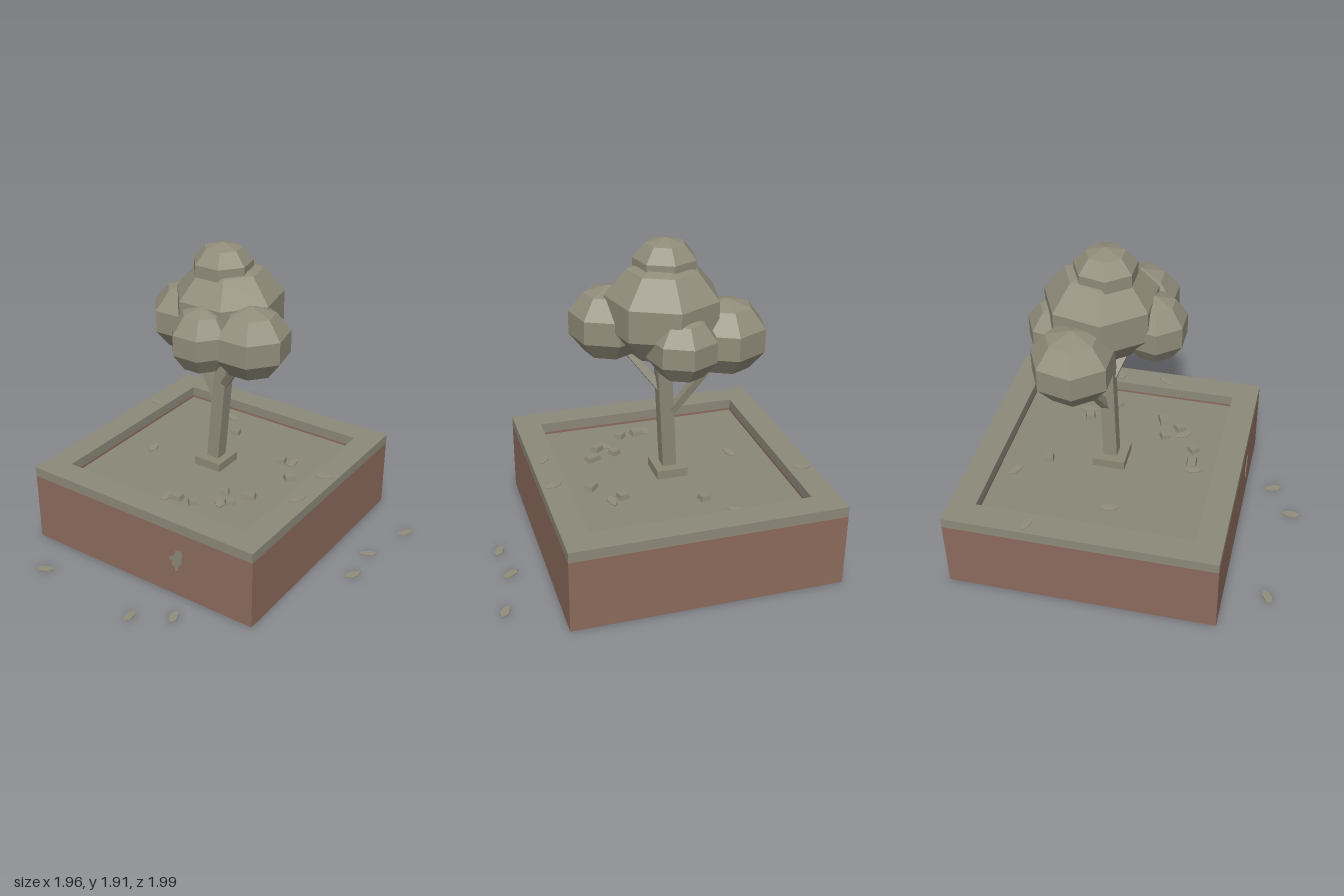
import * as THREE from 'three';

const mat = (name, color) => {
  const m = new THREE.MeshStandardMaterial({ color, flatShading: true });
  m.name = name;
  return m;
};

export function createModel() {
  const root = new THREE.Group();
  root.name = 'treePlanter';
  const brick = mat('brick', 0x8c6b5d);
  const stone = mat('stone', 0x8c8979);
  const soil = mat('soil', 0x8a8776);
  const bark = mat('bark', 0x8c8877);
  const foliage = mat('foliage', 0x918d7b);

  const add = (name, geometry, material, parent = root) => {
    const mesh = new THREE.Mesh(geometry, material);
    mesh.name = name;
    parent.add(mesh);
    return mesh;
  };
  const group = (name) => {
    const g = new THREE.Group();
    g.name = name;
    root.add(g);
    return g;
  };

  // Planter: square frame with an open middle, brick below and a stone cap
  const cx = -0.17, cz = -0.193;
  const square = (Type, h) => new Type([[-h, -h], [h, -h], [h, h], [-h, h]].map(([x, y]) => new THREE.Vector2(x, y)));
  const frame = (name, y0, y1, material) => {
    const shape = square(THREE.Shape, 0.808);
    shape.holes.push(square(THREE.Path, 0.65));
    const geo = new THREE.ExtrudeGeometry(shape, { depth: y1 - y0, bevelEnabled: false });
    geo.rotateX(-Math.PI / 2).translate(cx, y0, cz);
    add(name, geo, material);
  };
  frame('brickWall', 0, 0.445, brick);
  frame('stoneCap', 0.445, 0.508, stone);
  const soilY = 0.43;
  add('soilBed', new THREE.BoxGeometry(1.3, 0.02, 1.3).translate(cx, soilY - 0.01, cz), soil);

  // Ragged patch on the front wall
  const patch = new THREE.Shape([
    [0.10, 0.17], [0.125, 0.18], [0.125, 0.21], [0.15, 0.24], [0.155, 0.30], [0.145, 0.325], [0.11, 0.32],
    [0.095, 0.28], [0.055, 0.255], [0.07, 0.235], [0.085, 0.245], [0.075, 0.205], [0.105, 0.205],
  ].map(([x, y]) => new THREE.Vector2(x, y)));
  add('wallPatch', new THREE.ExtrudeGeometry(patch, { depth: 0.006, bevelEnabled: false }).translate(0, 0, 0.612), stone);

  // Collar and leaning trunk
  add('trunkCollar', new THREE.BoxGeometry(0.19, 0.055, 0.2).translate(-0.17, soilY + 0.027, -0.193), bark);
  const trunk = new THREE.BoxGeometry(0.085, 0.9, 0.085).translate(0, 0.45, 0);
  const p = trunk.attributes.position;
  for (let i = 0; i < p.count; i++) {
    const y = p.getY(i);
    p.setXYZ(i, p.getX(i) - 0.172 + 0.069 * y, y + soilY, p.getZ(i) - 0.192 - 0.04 * y);
  }
  trunk.computeVertexNormals();
  add('trunk', trunk, bark);

  // Branches
  const branch = (name, from, to, w) => {
    const a = new THREE.Vector3(...from), b = new THREE.Vector3(...to);
    const mesh = add(name, new THREE.BoxGeometry(w, a.distanceTo(b), w), bark);
    mesh.position.copy(a).lerp(b, 0.5);
    mesh.quaternion.setFromUnitVectors(new THREE.Vector3(0, 1, 0), b.sub(a).normalize());
  };
  branch('leftBranch', [-0.11, 1.0, -0.2], [0.1, 1.27, -0.08], 0.045);
  branch('rightBranch', [-0.165, 0.84, -0.225], [-0.43, 1.22, -0.31], 0.045);

  // Crown: seven-sided low-poly clumps [name, x, y, z, horizontal radius, vertical radius]
  const crown = group('crown');
  for (const [name, x, y, z, r, ry] of [
    ['mainClump', -0.11, 1.505, -0.245, 0.35, 0.3],
    ['topClump', -0.13, 1.752, -0.21, 0.193, 0.16],
    ['rightClump', -0.455, 1.343, -0.325, 0.252, 0.225],
    ['leftClump', 0.16, 1.4, -0.08, 0.245, 0.222],
    ['frontClump', -0.09, 1.405, 0.06, 0.2, 0.205],
    ['backClump', -0.155, 1.36, -0.47, 0.21, 0.195],
  ]) {
    const geo = new THREE.SphereGeometry(1, 7, 5).rotateY(-Math.PI / 2);
    add(name, geo.scale(r, ry, r).translate(x, y, z), foliage, crown);
  }

  // Fallen leaves [x, y, z, direction x, direction z]
  const leaves = group('fallenLeaves');
  const leafShape = new THREE.Shape([
    [-0.058, 0], [-0.02, -0.024], [0.03, -0.022], [0.058, 0], [0.02, 0.024], [-0.03, 0.022],
  ].map(([x, y]) => new THREE.Vector2(x, y)));
  const rim = 0.506;
  for (const [x, y, z, dx, dz] of [
    [0.945, 0, -0.735, 1, -2], [0.855, 0, -0.395, 2, -1.5], [0.88, 0, -0.145, 1, -2],
    [-0.705, 0, 0.875, 2, -1.3], [0.22, 0, 0.795, 0.7, 2], [0.005, 0, 0.935, 0.1, 2],
    [-0.905, rim, -0.51, 2, 0.5], [0.555, rim, 0.0, 1, -2], [0.56, rim, -0.31, 2, -1],
    [-0.41, soilY, -0.74, 2, 1], [0.25, soilY, -0.45, 0.2, 2], [-0.605, soilY, -0.1, 0.5, 2],
    [0.13, soilY, 0.2, 1.5, 2], [-0.18, soilY, 0.32, 0.5, 2],
  ]) {
    const geo = new THREE.ExtrudeGeometry(leafShape, { depth: 0.007, bevelEnabled: false });
    const leaf = add('leaf', geo.rotateX(-Math.PI / 2), foliage, leaves);
    leaf.position.set(x, y, z);
    leaf.rotation.y = Math.atan2(-dz, dx);
  }

  // Pebbles on the soil [x, z, width, turn]
  const pebbles = group('pebbles');
  for (const [x, z, w, turn] of [
    [0.335, -0.28, 0.075, 0.8], [0.18, -0.425, 0.06, 0.3], [0.185, 0.165, 0.065, 0.7], [-0.12, 0.3, 0.085, 0.1],
    [0, 0.29, 0.06, 0.8], [0.24, 0.05, 0.09, 0.4], [-0.27, -0.57, 0.06, 0.2], [0.09, 0.09, 0.06, 0.5],
  ]) {
    const geo = new THREE.CylinderGeometry(0.6, 0.72, 1, 4).rotateY(Math.PI / 4).scale(w, 0.03, 0.06);
    const pebble = add('pebble', geo, stone, pebbles);
    pebble.position.set(x, soilY + 0.014, z);
    pebble.rotation.y = turn;
  }
  return root;
}
